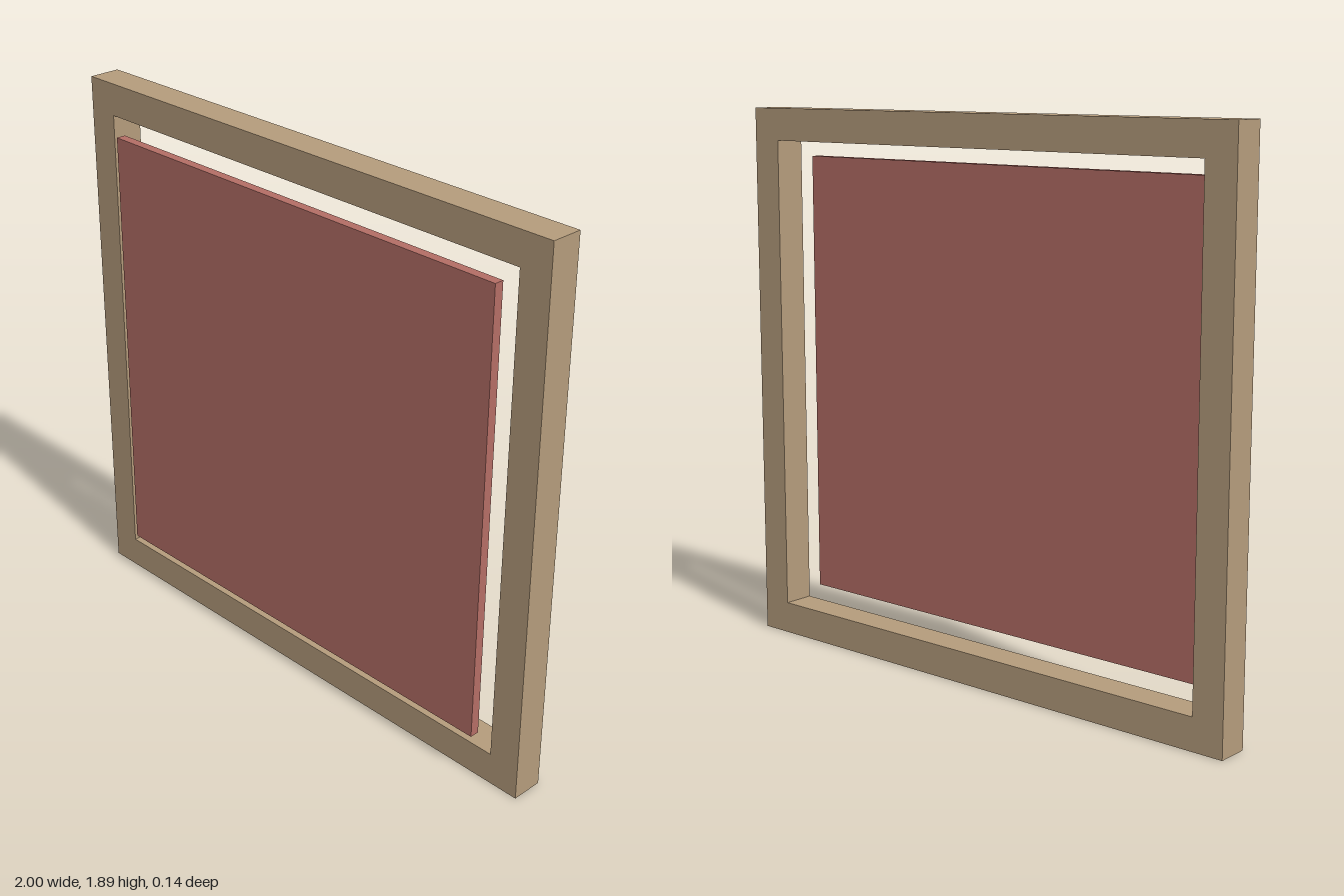
import * as THREE from 'three';

const W = 2, H = 1.889, BAR = 0.111, DEPTH = 0.111, BACK = -0.072;
const PANEL_W = 1.667, PANEL_H = 1.556, PANEL_DEPTH = 0.033;

// Adds a rectangle centred on x = 0 to a shape or path
function rect(path, w, y0, y1) {
  path.moveTo(-w / 2, y0);
  path.lineTo(w / 2, y0);
  path.lineTo(w / 2, y1);
  path.lineTo(-w / 2, y1);
  path.closePath();
  return path;
}

export function createModel() {
  const group = new THREE.Group();
  group.name = 'framedPanel';

  // Square-section border with an open middle
  const outline = rect(new THREE.Shape(), W, 0, H);
  outline.holes.push(rect(new THREE.Path(), W - 2 * BAR, BAR, H - BAR));
  const frame = new THREE.Mesh(
    new THREE.ExtrudeGeometry(outline, { depth: DEPTH, bevelEnabled: false }),
    new THREE.MeshStandardMaterial({ color: 0xb59c7c })
  );
  frame.name = 'frame';
  frame.position.z = BACK;
  group.add(frame);

  // Thin panel floating just ahead of the frame's front plane
  const panel = new THREE.Mesh(
    new THREE.BoxGeometry(PANEL_W, PANEL_H, PANEL_DEPTH),
    new THREE.MeshStandardMaterial({ color: 0xb46e66 })
  );
  panel.name = 'panel';
  panel.position.set(0, H / 2, BACK + DEPTH + PANEL_DEPTH / 2);
  group.add(panel);

  return group;
}
